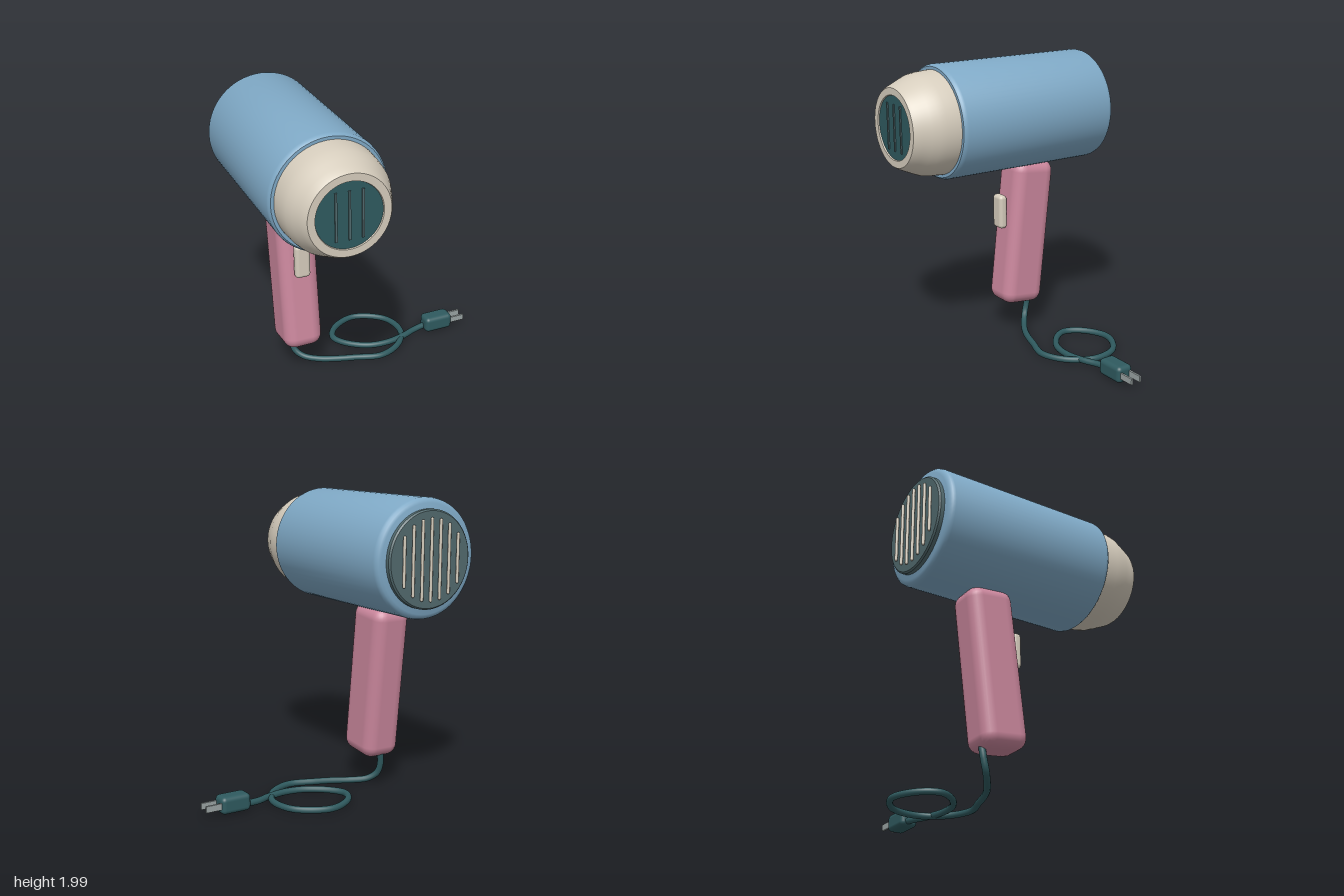
import * as THREE from 'three';
import { toCreasedNormals } from 'three/addons/utils/BufferGeometryUtils.js';
import { RoundedBoxGeometry } from 'three/addons/geometries/RoundedBoxGeometry.js';

const mat = (name, color) => {
  const m = new THREE.MeshStandardMaterial({ color });
  m.name = name;
  return m;
};

export function createModel() {
  const blue = mat('shell blue', 0x7fa9c6);
  const pink = mat('handle pink', 0xcb879d);
  const cream = mat('cream', 0xd6cdbd);
  const teal = mat('dark teal', 0x2f5a5f);
  const slate = mat('slate', 0x526a6e);
  const metal = mat('prong metal', 0x9aa3a3);

  const group = new THREE.Group();
  const X = -0.465, Y = 1.615; // barrel axis

  const add = (name, geometry, material, x, y, z) => {
    const mesh = new THREE.Mesh(geometry, material);
    mesh.name = name;
    mesh.position.set(x, y, z);
    group.add(mesh);
    return mesh;
  };
  // Turned part along z; profile is [radius, z] from back to front
  const turned = (name, profile, material) => {
    const g = new THREE.LatheGeometry(profile.map(([r, z]) => new THREE.Vector2(r, z)), 64);
    g.rotateX(Math.PI / 2);
    return add(name, toCreasedNormals(g, 0.7), material, X, Y, 0);
  };
  const roundedBox = (name, size, radius, material, x, y, z, segments = 4) =>
    add(name, new RoundedBoxGeometry(...size, segments, radius), material, x, y, z);

  // Barrel and nozzle
  turned('barrel', [
    [0, -0.73], [0.35, -0.73], [0.368, -0.722], [0.38, -0.71], [0.385, -0.69],
    [0.385, 0.45], [0.381, 0.467], [0.37, 0.48], [0, 0.48],
  ], blue);
  turned('nozzle', [
    [0.35, 0.47], [0.348, 0.52], [0.343, 0.58], [0.334, 0.63], [0.314, 0.68],
    [0.292, 0.73], [0.276, 0.765], [0.262, 0.785], [0.215, 0.785], [0.21, 0.77], [0, 0.765],
  ], cream);

  // Outlet grille
  turned('outletDisc', [[0.212, 0.766], [0.212, 0.776], [0, 0.776]], teal);
  for (let i = -1; i <= 1; i++)
    add('outletSlat', new THREE.BoxGeometry(0.014, 0.31, 0.012), slate, X + i * 0.085, Y, 0.778);

  // Rear intake grille
  turned('intakeDisc', [
    [0, -0.765], [0.305, -0.765], [0.315, -0.755], [0.315, -0.72],
  ], slate);
  for (let i = -3; i <= 3; i++) {
    const dx = i * 0.07;
    const length = 2 * Math.sqrt(0.265 ** 2 - dx ** 2);
    add('intakeSlat', new THREE.CapsuleGeometry(0.01, length - 0.02, 4, 10), cream, X + dx, Y, -0.776);
  }

  // Handle leaning back, with its switch
  const handle = roundedBox('handle', [0.27, 1.05, 0.32], 0.08, pink, X, 0.745, -0.21, 3);
  handle.rotation.x = -0.11;
  roundedBox('switch', [0.105, 0.24, 0.062], 0.025, cream, X, 0.915, -0.031);

  // Power cord: drops from the handle, makes one loop, then runs to the plug
  const path = [
    [-0.465, 0.25, -0.27], [-0.475, 0.16, -0.262], [-0.465, 0.09, -0.24], [-0.415, 0.045, -0.2],
    [-0.32, 0.031, -0.14], [-0.2, 0.033, -0.085], [-0.08, 0.035, -0.045], [0.1, 0.035, 0.005],
    [0.27, 0.035, -0.075], [0.365, 0.035, -0.24], [0.325, 0.035, -0.43], [0.12, 0.035, -0.548],
    [-0.06, 0.035, -0.47], [-0.125, 0.035, -0.35], [-0.075, 0.035, -0.25], [0.06, 0.036, -0.15],
    [0.2, 0.038, -0.125], [0.35, 0.04, -0.152], [0.45, 0.042, -0.19], [0.56, 0.05, -0.212],
  ].map(p => new THREE.Vector3(...p));
  add('cord', new THREE.TubeGeometry(new THREE.CatmullRomCurve3(path), 180, 0.022, 12), teal, 0, 0, 0);

  // Plug and prongs
  roundedBox('plug', [0.21, 0.115, 0.12], 0.03, teal, 0.64, 0.072, -0.198);
  for (const s of [-1, 1])
    add('prong', new THREE.BoxGeometry(0.13, 0.042, 0.014), metal, 0.785, 0.072, -0.198 + s * 0.035);

  return group;
}
